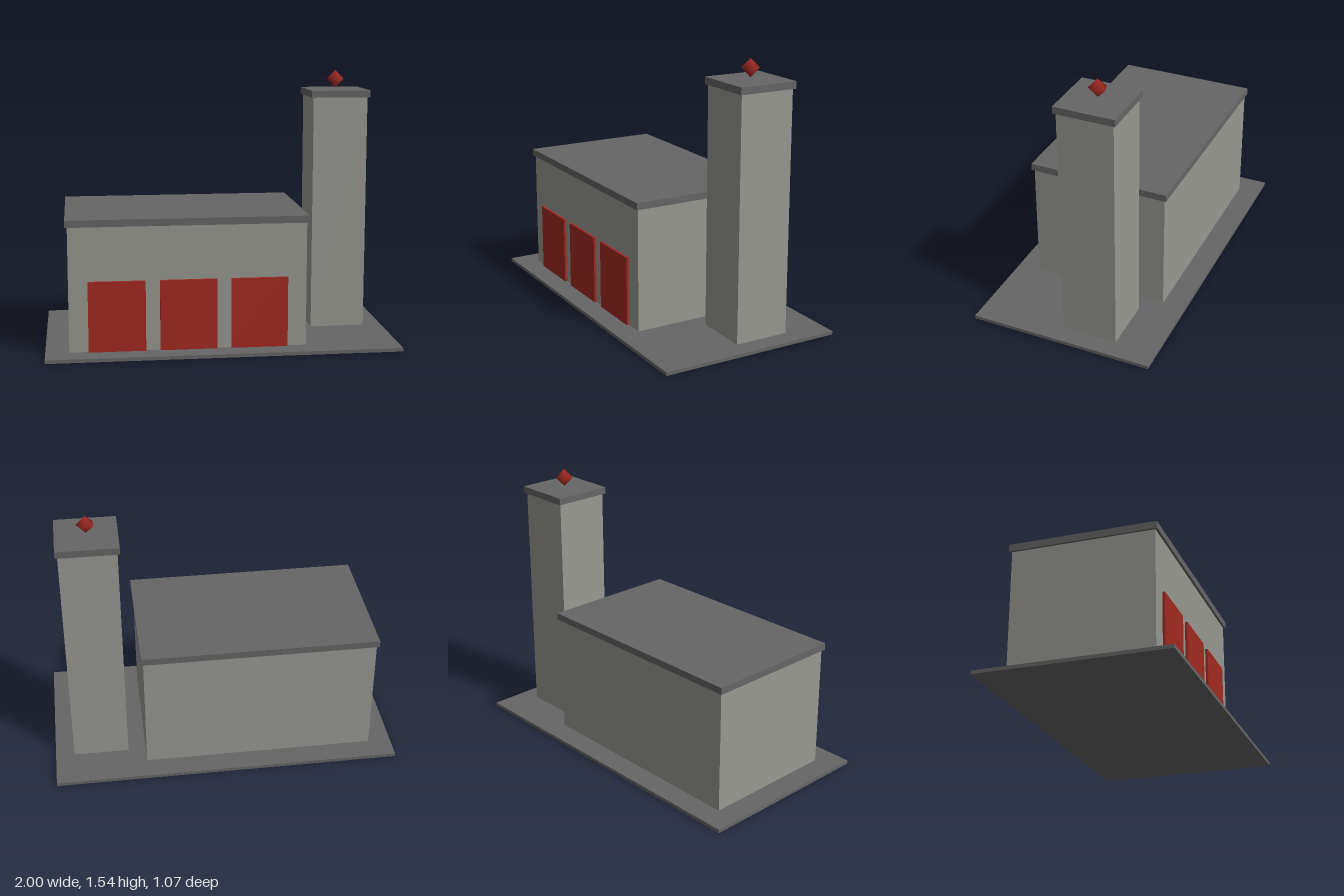
import * as THREE from 'three';

const slate = new THREE.MeshStandardMaterial({ name: 'slate grey', color: 0x666666 });
const concrete = new THREE.MeshStandardMaterial({ name: 'concrete grey', color: 0x999993 });
const red = new THREE.MeshStandardMaterial({ name: 'signal red', color: 0xa32a22 });

// Box standing on height y, centred on x and z
function block(name, material, [w, h, d], [x, y, z]) {
  const mesh = new THREE.Mesh(new THREE.BoxGeometry(w, h, d), material);
  mesh.name = name;
  mesh.position.set(x, y + h / 2, z);
  return mesh;
}

export function createModel() {
  const model = new THREE.Group();
  model.name = 'fireStation';

  // Ground slab
  model.add(block('groundSlab', slate, [2, 0.02, 1.066], [0, 0, 0]));

  // Garage hall with overhanging flat roof
  const hall = new THREE.Group();
  hall.name = 'hall';
  hall.add(block('hallWalls', concrete, [1.334, 0.707, 0.8], [-0.2, 0.02, 0]));
  hall.add(block('hallRoof', slate, [1.36, 0.04, 0.826], [-0.2, 0.727, 0]));

  // Three garage doors
  for (const x of [-0.6, -0.2, 0.2]) {
    hall.add(block('garageDoor', red, [0.32, 0.4, 0.014], [x, 0.02, 0.407]));
  }
  model.add(hall);

  // Tower with cap
  const tower = new THREE.Group();
  tower.name = 'tower';
  tower.add(block('towerShaft', concrete, [0.32, 1.373, 0.32], [0.73, 0.02, -0.133]));
  tower.add(block('towerCap', slate, [0.346, 0.04, 0.346], [0.73, 1.393, -0.133]));

  // Five-sided beacon floating over the cap
  const beacon = new THREE.Mesh(new THREE.SphereGeometry(0.052, 5, 2), red);
  beacon.name = 'beacon';
  beacon.position.set(0.73, 1.492, -0.133);
  beacon.rotation.y = Math.PI;
  tower.add(beacon);
  model.add(tower);

  return model;
}
